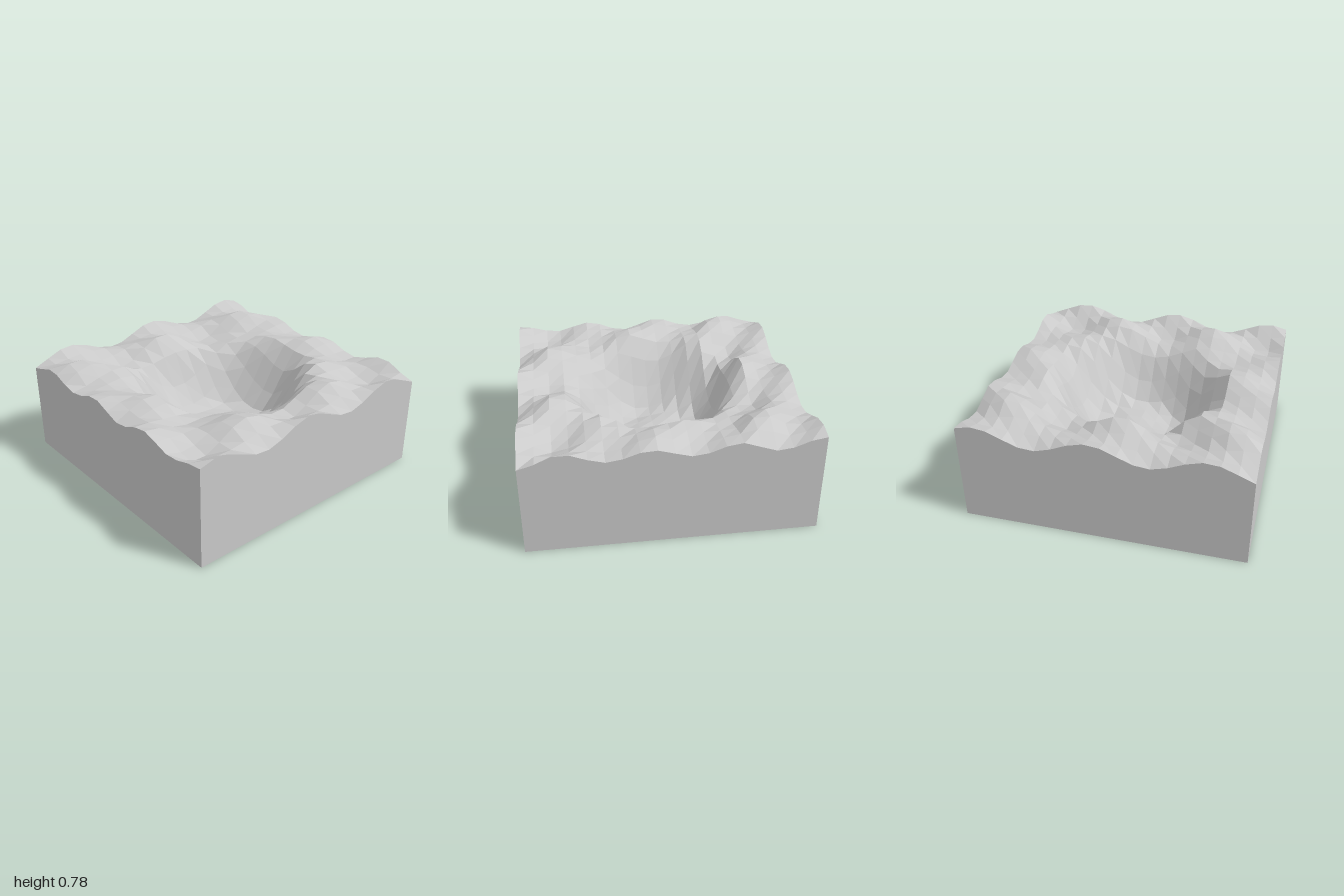
import * as THREE from 'three';

const CELLS = 18;
const GROUND = 0.7, FLOOR = 0.25;      // mean ground level and pit floor level
const PIT_INNER = 0.27, PIT_OUTER = 0.7;

// Strength of the main ridges in each column of the grid, from x = -1 to x = 1
const RIDGES = [
  0.045, 0.005, 0.015, 0.08, 0.078, 0.01, 0, -0.005, 0.015, 0.04,
  0.054, 0.025, 0, -0.01, -0.012, -0.05, -0.075, -0.02, 0.045,
];

// Rolling ground: ridges along z, crossed by a finer wave along x
function waves(x, z) {
  const column = Math.round((x + 1) * CELLS / 2);
  return RIDGES[column] * Math.cos(8 * z) - 0.037 * Math.sin(11 * x) * Math.sin(8 * z);
}

// Ground height with a steep-walled round pit in the middle
function heightAt(x, z) {
  const wall = THREE.MathUtils.smoothstep(Math.hypot(x, z), PIT_INNER, PIT_OUTER);
  return THREE.MathUtils.lerp(FLOOR, GROUND, wall) + waves(x, z) * (0.5 + 0.5 * wall);
}

export function createModel() {
  const group = new THREE.Group();
  group.name = 'terrainBlock';
  const stone = new THREE.MeshStandardMaterial({ color: 0xcacaca });
  stone.name = 'light grey';

  // Solid block whose upper vertices follow the ground height
  const block = new THREE.BoxGeometry(2, 1, 2, CELLS, 1, CELLS);
  const p = block.attributes.position;
  for (let i = 0; i < p.count; i++) {
    p.setY(i, p.getY(i) > 0 ? heightAt(p.getX(i), p.getZ(i)) : 0);
  }

  // Separate faces for a faceted look
  const faceted = block.toNonIndexed();
  faceted.clearGroups();
  faceted.computeVertexNormals();

  const mesh = new THREE.Mesh(faceted, stone);
  mesh.name = 'crateredGround';
  group.add(mesh);
  return group;
}
